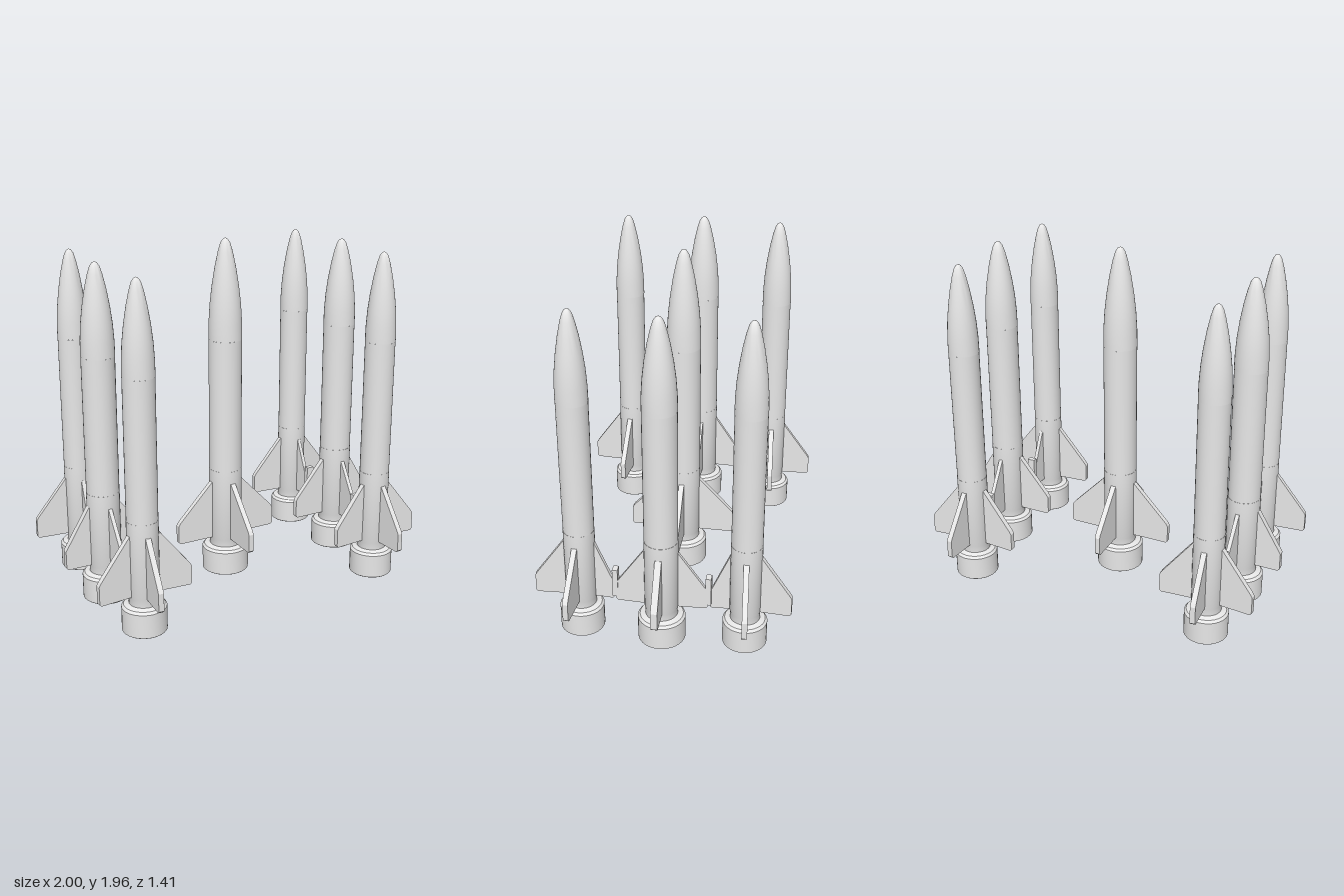
import * as THREE from 'three';
import { toCreasedNormals } from 'three/addons/utils/BufferGeometryUtils.js';

const grey = new THREE.MeshStandardMaterial({ color: 0xe7e7e7 });
grey.name = 'lightGrey';
const dark = new THREE.MeshStandardMaterial({ color: 0x686868 });
dark.name = 'darkGrey';

function part(name, geometry, material = grey) {
  const mesh = new THREE.Mesh(geometry, material);
  mesh.name = name;
  return mesh;
}

function lathe(points) {
  const pts = points.map(([r, y]) => new THREE.Vector2(r, y));
  return toCreasedNormals(new THREE.LatheGeometry(pts, 32), 0.6);
}

// Fin: swept plate growing outwards along its own x axis
function fin(r, dx, dz, thick) {
  const len = Math.hypot(dx, dz);
  const s = new THREE.Shape();
  s.moveTo(r * 0.6, 0.21);
  s.lineTo(len - 0.01, 0.21);
  s.lineTo(len, 0.22);
  s.lineTo(len, 0.32);
  s.lineTo(len - 0.012, 0.34);
  s.lineTo(r, 0.555);
  s.lineTo(r * 0.6, 0.57);
  s.closePath();
  const g = new THREE.ExtrudeGeometry(s, { depth: thick, bevelEnabled: false });
  g.translate(0, 0, -thick / 2);
  const mesh = part('fin', g);
  mesh.rotation.y = Math.atan2(-dz, dx);
  return mesh;
}

function rocket(name, x, z, r, nozzleR, height, tips) {
  const g = new THREE.Group();
  g.name = name;
  g.position.set(x, 0, z);

  // Engine bell with a chamfered shoulder and a dark hollow
  const n = nozzleR;
  g.add(part('nozzle', lathe([
    [n * 0.96, 0], [n, 0.004], [n, 0.138], [n - 0.012, 0.152], [r, 0.157], [r * 0.9, 0.165],
  ])));
  g.add(part('nozzleHollow', lathe([
    [0, 0.06], [n * 0.5, 0.052], [n * 0.85, 0.03], [n * 0.96, 0],
  ]), dark));

  // Tube with faint seams at the lower joint and under the nose
  const seam = r - 0.001;
  g.add(part('body', lathe([
    [r * 0.96, 0.14], [r * 0.96, 0.2], [r, 0.21],
    [r, 0.63], [seam, 0.63], [seam, 1.397],
  ])));

  // Ogive nose with a small rounded tip
  const profile = [[0.97, 0], [1, 0.001], [0.985, 0.17], [0.92, 0.35], [0.8, 0.53],
    [0.62, 0.72], [0.43, 0.87], [0.29, 0.95], [0.16, 0.985], [0, 1]];
  g.add(part('nose', lathe(profile.map(([a, t]) => [a * r, 1.397 + t * (height - 1.397)]))));

  for (const [dx, dz, thick = 0.03] of tips) g.add(fin(r, dx, dz, thick));
  return g;
}

export function createModel() {
  const model = new THREE.Group();
  model.name = 'rocketCluster';

  model.add(rocket('centreRocket', 0, 0, 0.095, 0.135, 1.963,
    [[0.312, 0], [-0.312, 0], [0, 0.31], [0, -0.31]]));

  for (const sx of [-1, 1]) {
    model.add(rocket('sideRocket', sx * 0.765, 0, 0.092, 0.13, 1.9,
      [[sx * 0.235, 0, 0.037], [-sx * 0.28, 0], [-sx * 0.01, 0.25, 0.022], [-sx * 0.01, -0.25, 0.022]]));

    for (const sz of [-1, 1]) {
      model.add(rocket('cornerRocket', sx * 0.733, sz * 0.452, 0.085, 0.122, 1.895,
        [[sx * 0.266, sz * 0.023], [-sx * 0.267, sz * 0.021],
          [sx * 0.015, sz * 0.25], [sx * 0.012, -sz * 0.19, 0.022]]));

      // Clamp joining neighbouring fin tips
      const clamp = part('finClamp', new THREE.BoxGeometry(0.045, 0.17, 0.03));
      clamp.position.set(sx * 0.748, 0.32, sz * 0.255);
      model.add(clamp);
    }
  }
  return model;
}
